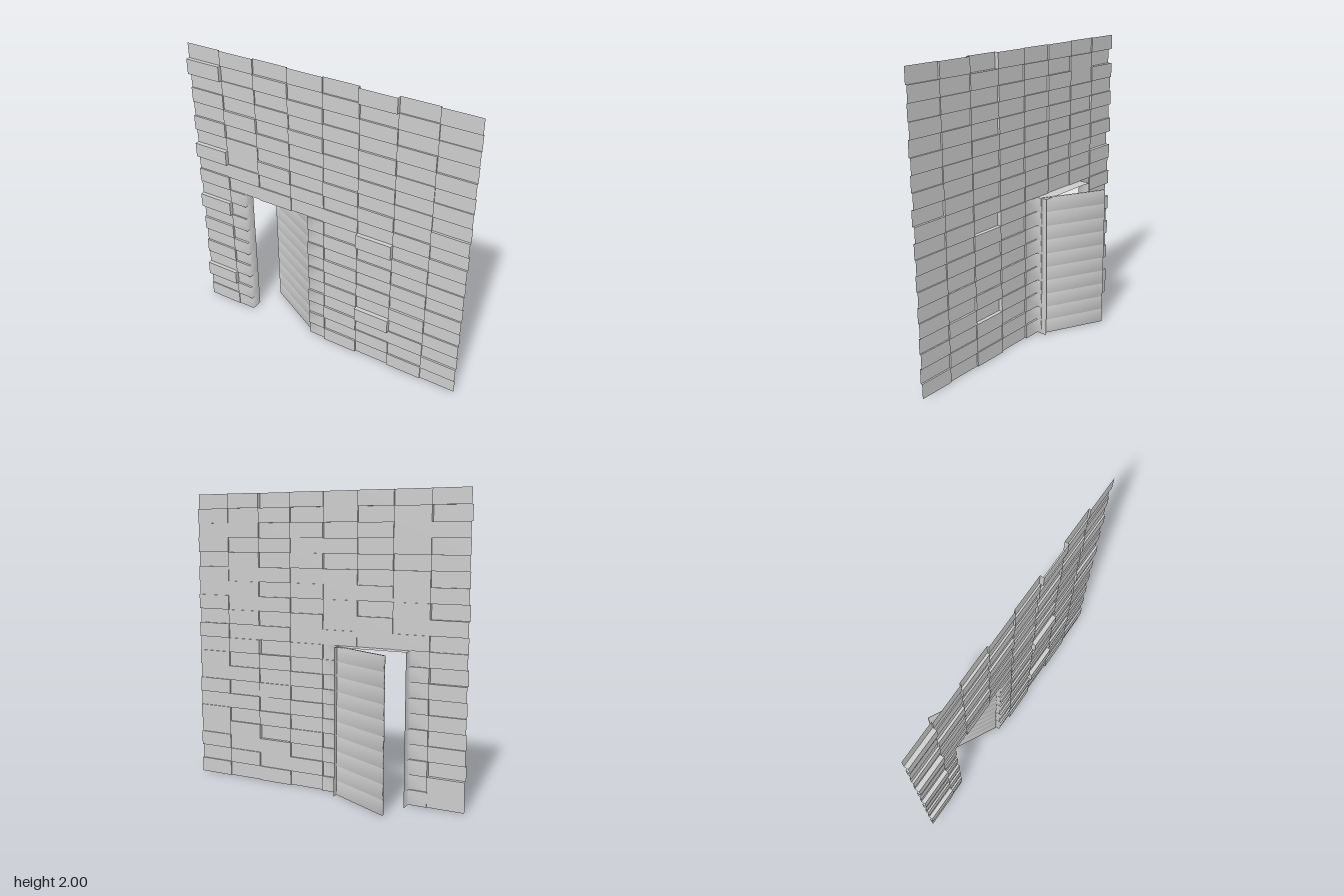
import * as THREE from 'three';
import { mergeVertices } from 'three/addons/utils/BufferGeometryUtils.js';

const COLS = 8, ROWS = 20, W = 0.2475, H = 0.1;
const DOOR_L = -0.62, DOOR_R = -0.125, DOOR_ROWS = 10, BACK = 0.035;

const mat = new THREE.MeshStandardMaterial({ color: 0xcccccc, side: THREE.DoubleSide });

// Collects four-cornered faces (counter-clockwise from their front)
function quadSheet() {
  const pos = [];
  return {
    quad(a, b, c, d) { pos.push(...a, ...b, ...c, ...a, ...c, ...d); },
    build(name, smooth) {
      let g = new THREE.BufferGeometry();
      g.setAttribute('position', new THREE.Float32BufferAttribute(pos, 3));
      if (smooth) g = mergeVertices(g, 1e-5);
      g.computeVertexNormals();
      const mesh = new THREE.Mesh(g, mat);
      mesh.name = name;
      return mesh;
    },
  };
}

// Brick relief: alternate bricks stand forward, a few stand out further
function makeDepths() {
  let seed = 7;
  const rand = () => (seed = (seed * 16807) % 2147483647) / 2147483647;
  const proud = { 0: [2, 8, 18], 5: [3, 9, 19] };
  const depths = [];
  for (let r = 0; r < ROWS; r++) {
    depths.push([]);
    for (let c = 0; c < COLS; c++) {
      const out = (r + c) % 2 === 0;
      let z = out ? 0.121 + rand() * 0.008 : 0.112 + rand() * 0.004;
      if (proud[c]?.includes(r) || (c === 0 && r === 12)) z = 0.143;
      depths[r].push(z);
    }
  }
  return depths;
}

// Horizontal extent of a brick, cut back beside the doorway; null inside it
function span(r, c) {
  let x0 = -0.99 + c * W, x1 = x0 + W;
  if (r < DOOR_ROWS) {
    if (c === 2) return null;
    if (c === 1) x1 = DOOR_L;
    if (c === 3) x0 = DOOR_R;
  }
  return [x0, x1];
}

export function createModel() {
  const group = new THREE.Group();
  const depth = makeDepths();
  const wall = quadSheet(), jambLeft = quadSheet(), jambRight = quadSheet();

  for (let r = 0; r < ROWS; r++) {
    const y0 = r * H, y1 = y0 + H;
    for (let c = 0; c < COLS; c++) {
      const s = span(r, c);
      if (!s) continue;
      const [x0, x1] = s, z = depth[r][c];
      const beside = r < DOOR_ROWS && (c === 1 || c === 3);

      // brick face; beside the door it belongs to the soft-shaded jamb
      const sheet = !beside ? wall : c === 1 ? jambRight : jambLeft;
      sheet.quad([x0, y0, z], [x1, y0, z], [x1, y1, z], [x0, y1, z]);
      if (beside && c === 1)
        sheet.quad([x1, y0, z], [x1, y0, BACK], [x1, y1, BACK], [x1, y1, z]);
      if (beside && c === 3)
        sheet.quad([x0, y0, BACK], [x0, y0, z], [x0, y1, z], [x0, y1, BACK]);

      // step to the next brick sideways
      if (c + 1 < COLS && span(r, c + 1)) {
        const n = depth[r][c + 1];
        wall.quad([x1, y0, z], [x1, y0, n], [x1, y1, n], [x1, y1, z]);
      }
      // step to the brick above
      if (r + 1 < ROWS) {
        const n = depth[r + 1][c];
        wall.quad([x0, y1, z], [x1, y1, z], [x1, y1, n], [x0, y1, n]);
      }
    }
  }

  // ceiling of the doorway, reaching forward to the bricks above it
  const lintel = quadSheet();
  for (let c = 1; c <= 3; c++) {
    const x0 = Math.max(DOOR_L, -0.99 + c * W);
    const x1 = Math.min(DOOR_R, -0.99 + (c + 1) * W);
    const z = depth[DOOR_ROWS][c];
    lintel.quad([x0, 1, BACK], [x1, 1, BACK], [x1, 1, z], [x0, 1, z]);
  }

  group.add(
    wall.build('brickWall', false),
    jambRight.build('rightDoorJamb', true),
    jambLeft.build('leftDoorJamb', true),
    lintel.build('doorwayCeiling', false),
  );

  // Door of ten soft-shaded boards, ajar and hinged at the model's left jamb
  const door = new THREE.Group();
  door.name = 'door';
  const length = 0.482;
  let board = new THREE.BoxGeometry(length, H, 0.014);
  board.deleteAttribute('normal');
  board.deleteAttribute('uv');
  board = mergeVertices(board);
  board.computeVertexNormals();
  for (let i = 0; i < 10; i++) {
    const m = new THREE.Mesh(board, mat);
    m.name = 'doorBoard';
    m.position.set(-length / 2, (i + 0.5) * H, 0);
    door.add(m);
  }
  door.position.set(-0.125, 0, 0.083);
  door.rotation.y = -Math.atan2(0.225, 0.425);
  group.add(door);

  return group;
}
